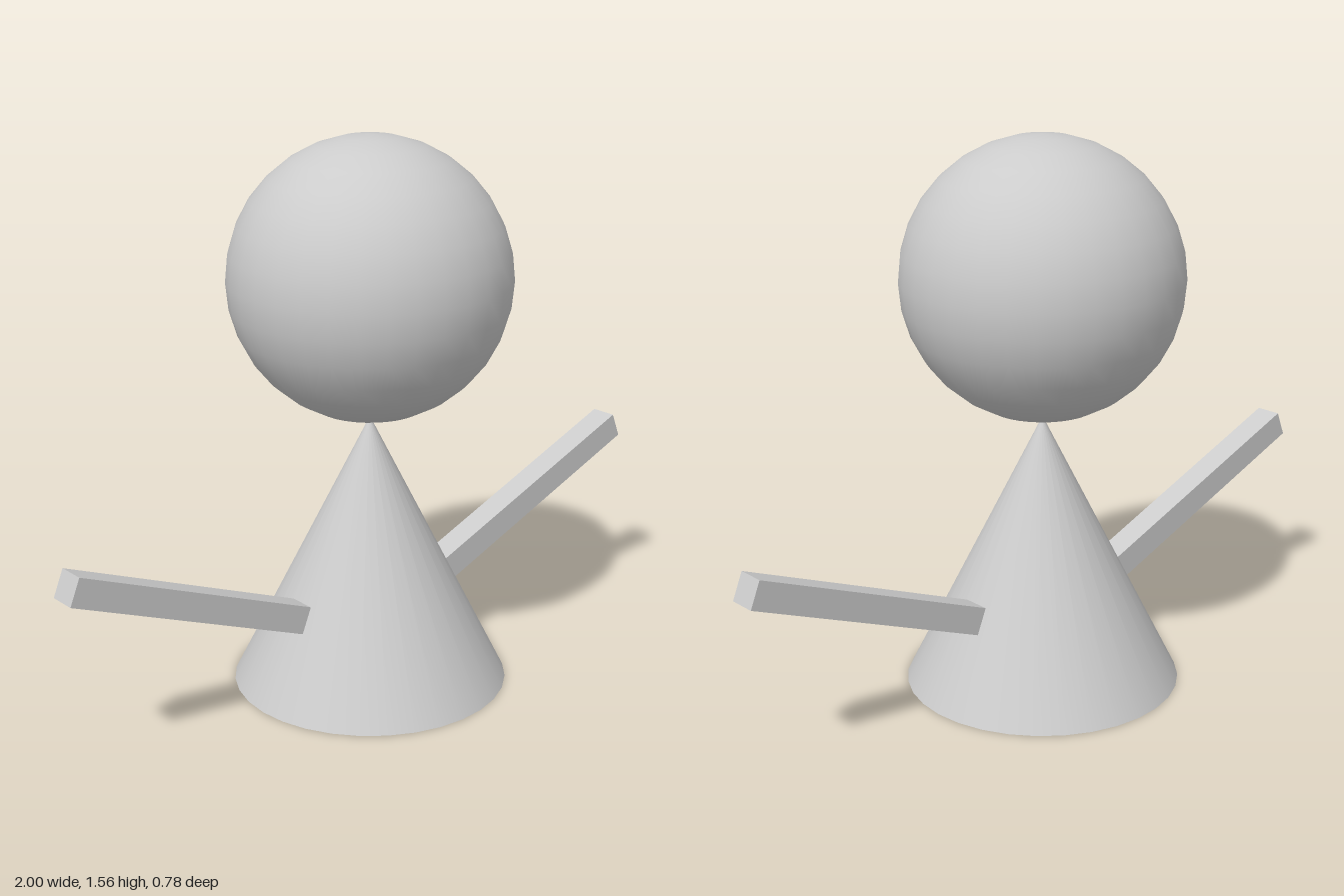
import * as THREE from 'three';

export function createModel() {
  const model = new THREE.Group();
  const grey = new THREE.MeshStandardMaterial({ color: 0xcccccc });
  const R = 0.39; // shared radius of head and body

  const add = (name, geometry, x, y) => {
    const mesh = new THREE.Mesh(geometry, grey);
    mesh.name = name;
    mesh.position.set(x, y, 0);
    model.add(mesh);
    return mesh;
  };

  // Cone body with the ball head balanced on its tip
  add('body', new THREE.ConeGeometry(R, 2 * R, 32), 0, R);
  add('head', new THREE.SphereGeometry(R, 32, 16), 0, 3 * R);

  // Square bar arms, raised outwards
  const armGeometry = new THREE.BoxGeometry(2 * R, 0.078, 0.078);
  for (const side of [1, -1]) {
    const arm = add(side > 0 ? 'leftArm' : 'rightArm', armGeometry, side * 0.624, 0.4);
    arm.rotation.z = side * THREE.MathUtils.degToRad(22.2);
  }

  return model;
}
